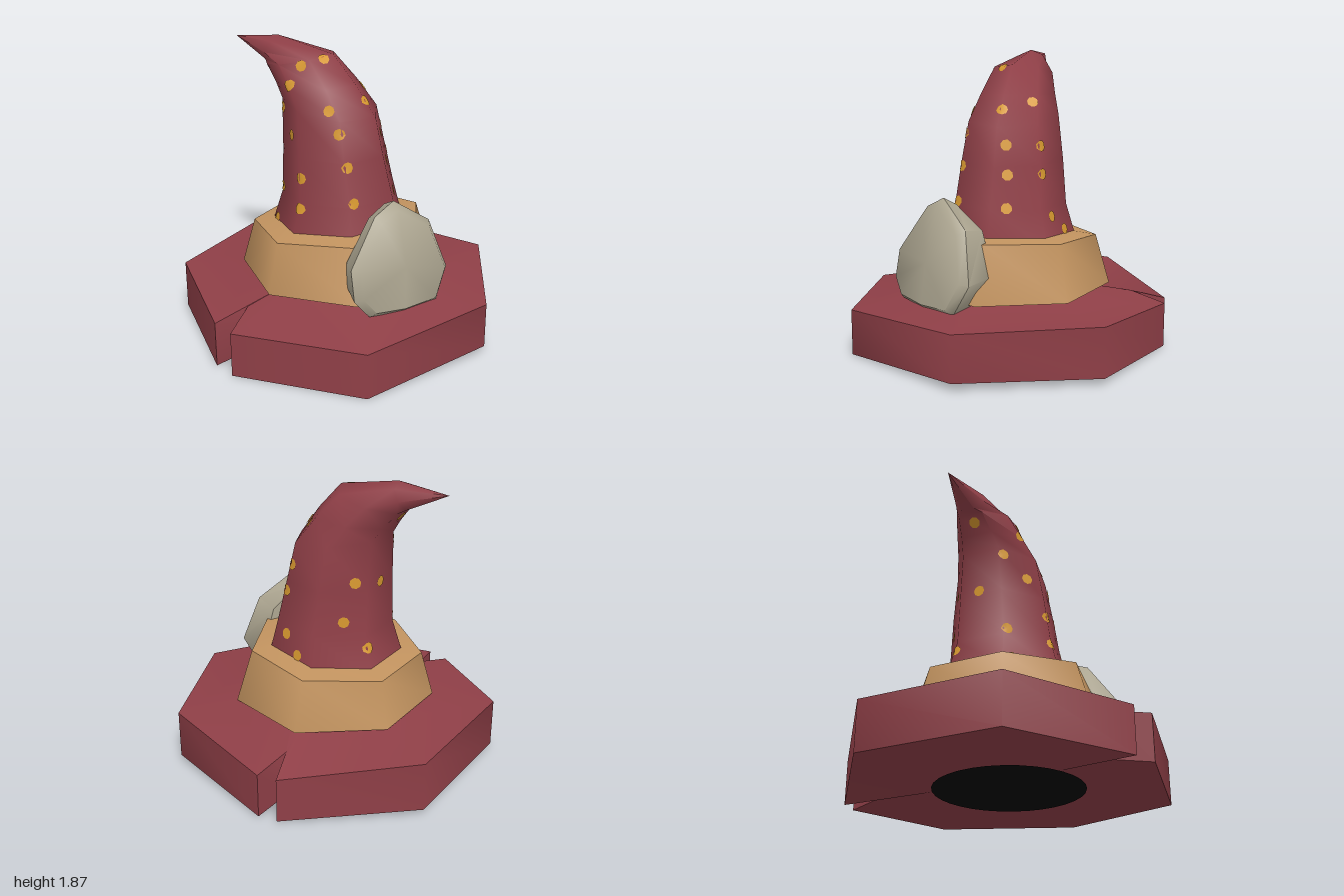
import * as THREE from 'three';
import { toCreasedNormals } from 'three/addons/utils/BufferGeometryUtils.js';

const mat = (name, color, side = THREE.FrontSide) => {
  const m = new THREE.MeshStandardMaterial({ color, side });
  m.name = name;
  return m;
};

// Skin closed loops of [x, y, z] points; loops run from +x towards +z, bottom to top
function loft(loops, crease) {
  const n = loops[0].length, index = [];
  const same = (p, q) => p.every((v, k) => Math.abs(v - q[k]) < 1e-6);
  for (let i = 0; i < loops.length - 1; i++) {
    for (let j = 0; j < n; j++) {
      const k = (j + 1) % n;
      const a = i * n + j, b = i * n + k, c = b + n, d = a + n;
      if (!same(loops[i + 1][j], loops[i + 1][k])) index.push(a, d, c);
      if (!same(loops[i][j], loops[i][k])) index.push(a, c, b);
    }
  }
  const g = new THREE.BufferGeometry();
  g.setAttribute('position', new THREE.Float32BufferAttribute(loops.flat(2), 3));
  g.setIndex(index);
  return toCreasedNormals(g, crease);
}

const SIDES = 7;
const angles = Array.from({ length: SIDES }, (_, i) => (i / SIDES) * Math.PI * 2);

export function createModel() {
  const group = new THREE.Group();
  const red = mat('red felt', 0x8f3f47, THREE.DoubleSide);
  const tan = mat('tan band', 0xc2935f);
  const grey = mat('grey stone', 0xaca590);
  const yellow = mat('yellow spots', 0xd6982f, THREE.DoubleSide);
  const black = mat('black opening', 0x080808, THREE.DoubleSide);
  const add = (name, geometry, material) => {
    const m = new THREE.Mesh(geometry, material);
    m.name = name;
    group.add(m);
    return m;
  };

  // Brim: seven-sided slab with a torn notch at front and back [x, z, bottom, top]
  const rim = [
    [0.985, 0, 0.05, 0.34], [0.6, 0.82, 0, 0.29], [-0.23, 1.0, 0, 0.285],
    [-0.29, 0.73, 0.04, 0.33], [-0.38, 0.95, 0, 0.29], [-0.99, 0.46, 0.04, 0.355],
    [-0.99, -0.44, 0.04, 0.355], [-0.31, -0.98, 0, 0.285], [-0.23, -0.77, 0.04, 0.34],
    [-0.19, -1.0, 0, 0.285], [0.6, -0.8, 0.04, 0.35],
  ];
  const ring = (r, y) => rim.map(([x, z]) => {
    const l = Math.hypot(x, z);
    return [x / l * r, y, z / l * r];
  });
  add('brim', loft([
    ring(0.42, 0.06),
    rim.map(([x, z, b]) => [x, b, z]),
    rim.map(([x, z, , t]) => [x, t, z]),
    ring(0.56, 0.375),
    ring(0.48, 0.4),
  ], 1.0), red);

  // Dark head opening underneath
  const opening = add('headOpening', new THREE.CircleGeometry(0.47, 32), black);
  opening.rotation.x = Math.PI / 2;
  opening.position.y = 0.045;

  // Band: flared ring whose top edge tilts up to one side
  const bandLoop = (r, cx, y, tilt) => angles.map((a) => {
    const x = cx + r * Math.cos(a);
    return [x, y + tilt * x, r * Math.sin(a)];
  });
  add('band', loft([
    bandLoop(0.45, -0.05, 0.39, 0),
    bandLoop(0.65, -0.05, 0.39, 0),
    bandLoop(0.555, -0.065, 0.715, 0.06),
    bandLoop(0.38, -0.05, 0.74, 0.06),
  ], 0.95), tan);

  // Crown: bent cone, each section given by its left point, right point and half depth
  const sections = [
    [-0.46, 0.66, 0.385, 0.7, 0.42],
    [-0.39, 0.9, 0.325, 0.92, 0.355],
    [-0.39, 1.2, 0.255, 1.18, 0.325],
    [-0.4, 1.5, 0.2, 1.42, 0.285],
    [-0.46, 1.59, 0.06, 1.61, 0.235],
    [-0.54, 1.69, -0.1, 1.785, 0.185],
    [-0.58, 1.71, -0.5, 1.865, 0.095],
    [-0.83, 1.83, -0.83, 1.83, 0],
  ];
  const back = Math.cos(Math.PI / SIDES), wide = Math.sin(angles[2]);
  const crown = add('crown', loft(sections.map(([lx, ly, rx, ry, w]) => angles.map((a) => {
    const t = (Math.cos(a) + back) / (1 + back);
    return [lx + (rx - lx) * t, ly + (ry - ly) * t, w * Math.sin(a) / wide];
  })), 1.2), red);

  // Spots: small patches draped on the crown, grouped by facing angle as [sideways, height]
  const spots = [
    [0, [[-0.23, 1.73], [-0.29, 1.61], [-0.13, 1.765], [0, 1.49], [0.08, 1.36], [0.14, 1.16],
      [0.19, 0.94], [-0.25, 1.31], [-0.14, 1.07], [-0.14, 0.88], [-0.375, 1.45],
      [-0.37, 0.93], [-0.39, 0.72]]],
    [Math.PI / 2, [[0.01, 1.52], [0.06, 1.31], [0.08, 1.13], [0.09, 0.93], [0.17, 1.56],
      [0.25, 1.3], [0.27, 1.13], [0.32, 0.86]]],
    [-Math.PI * 0.75, [[0.1, 1.25], [0.03, 1.0], [0.27, 1.22], [0.18, 0.83], [0.37, 1.65],
      [-0.24, 0.76]]],
  ];
  const caster = new THREE.Raycaster();
  const hit = (from, dir) => {
    caster.set(from, dir);
    return caster.intersectObject(crown)[0];
  };
  const spotGroup = new THREE.Group();
  spotGroup.name = 'spots';
  group.add(spotGroup);
  for (const [turn, list] of spots) {
    const facing = new THREE.Vector3(Math.sin(turn), 0, Math.cos(turn));
    const aside = new THREE.Vector3(Math.cos(turn), 0, -Math.sin(turn));
    for (const [s, y] of list) {
      const from = aside.clone().multiplyScalar(s).addScaledVector(facing, 3).setY(y);
      const centre = hit(from, facing.clone().negate());
      if (!centre) continue;
      const normal = centre.face.normal.clone();
      if (normal.dot(facing) < 0) normal.negate();
      const geo = new THREE.CircleGeometry(0.036, 8);
      geo.applyQuaternion(new THREE.Quaternion().setFromUnitVectors(new THREE.Vector3(0, 0, 1), normal));
      geo.translate(...centre.point.toArray());
      const pos = geo.attributes.position, p = new THREE.Vector3();
      for (let i = 0; i < pos.count; i++) {
        p.fromBufferAttribute(pos, i);
        const h = hit(p.clone().addScaledVector(normal, 0.1), normal.clone().negate());
        if (h && h.distance < 0.2) p.copy(h.point);
        p.addScaledVector(normal, 0.006);
        pos.setXYZ(i, p.x, p.y, p.z);
      }
      geo.computeVertexNormals();
      const spot = new THREE.Mesh(geo, yellow);
      spot.name = 'spot';
      spotGroup.add(spot);
    }
  }

  // Stone: rounded slab leaning on the band; outline as [sideways, height]
  const outline = [[0, 1.01], [0.14, 0.94], [0.34, 0.66], [0.34, 0.47], [0.25, 0.36],
    [0.02, 0.335], [-0.24, 0.35], [-0.34, 0.54], [-0.24, 0.85]];
  const stoneLoop = (scale, depth) => outline.map(([s0, y0]) => {
    const s = s0 * scale, y = 0.63 + (y0 - 0.63) * scale, n = depth(s, y);
    return [0.88 * n - 0.48 * s, y, 0.48 * n + 0.88 * s];
  });
  const front = (s, y) => 0.69 - 0.2 * (y - 0.38);
  add('stone', loft([
    stoneLoop(0, (s, y) => front(s, y) + 0.025),
    stoneLoop(0.88, front),
    stoneLoop(1, (s, y) => front(s, y) - 0.045),
    stoneLoop(0.86, (s) => 0.42 + 0.15 * s),
    stoneLoop(0, () => 0.39),
  ], 0.9), grey);

  return group;
}
